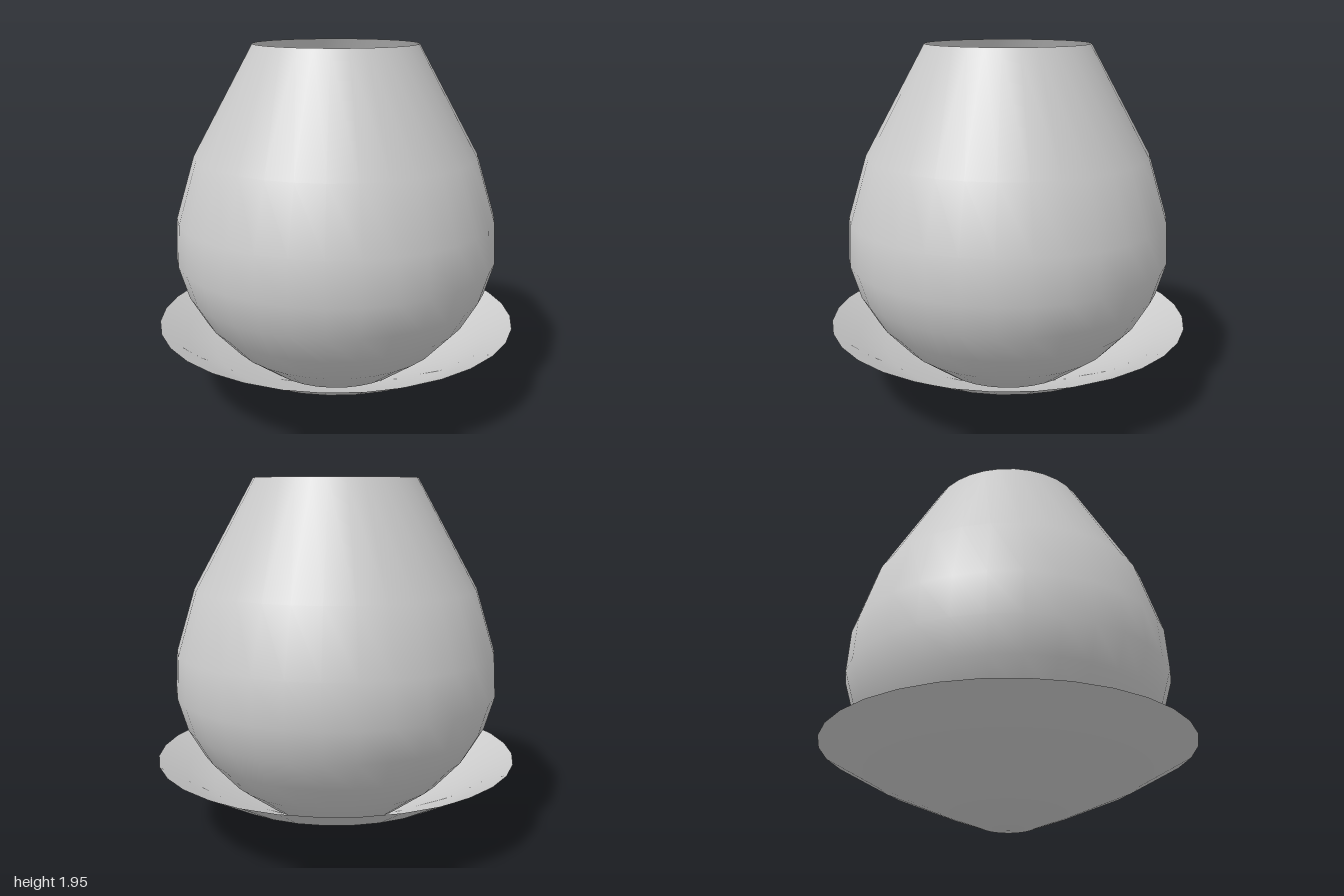
import * as THREE from 'three';

const SEGMENTS = 32;

// Thin-walled turned shell from [radius, height] pairs, bottom to top
function turned(name, profile) {
  const points = profile.map(([r, y]) => new THREE.Vector2(r, y));
  const material = new THREE.MeshStandardMaterial({ color: 0xcccccc, side: THREE.DoubleSide });
  const mesh = new THREE.Mesh(new THREE.LatheGeometry(points, SEGMENTS), material);
  mesh.name = name;
  return mesh;
}

export function createModel() {
  const group = new THREE.Group();
  group.name = 'potOnSaucer';

  // Shallow flared dish
  group.add(turned('saucer', [
    [0, 0], [0.14, 0.02], [0.35, 0.1], [0.7, 0.25], [0.85, 0.335], [1, 0.42],
  ]));

  // Open-topped round pot, resting inside the dish
  group.add(turned('pot', [
    [0, 0.03], [0.22, 0.065], [0.4, 0.14], [0.6, 0.29], [0.745, 0.45],
    [0.837, 0.61], [0.89, 0.79], [0.877, 1.02], [0.773, 1.36], [0.445, 1.95],
  ]));

  return group;
}
